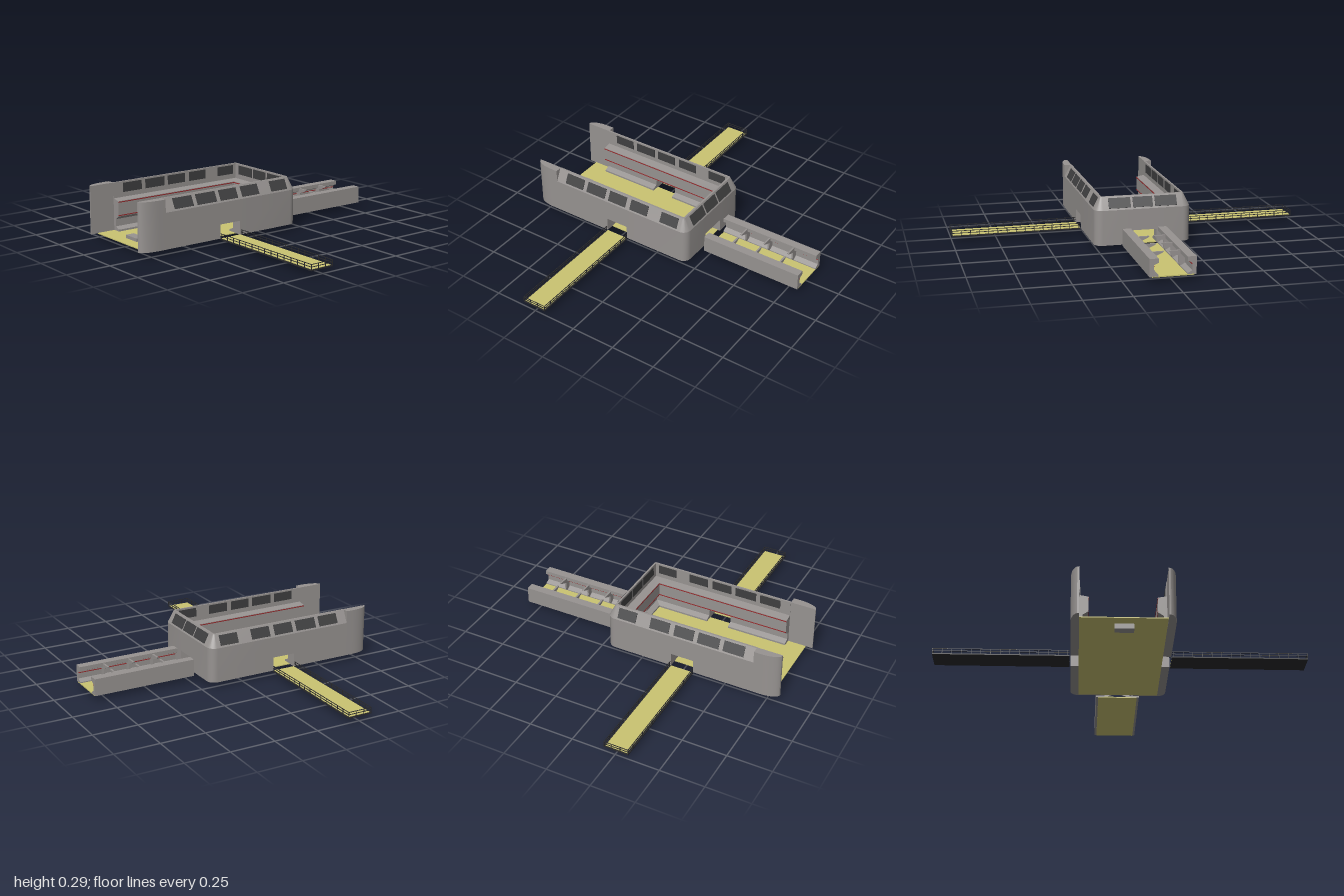
import * as THREE from 'three';
import { toCreasedNormals } from 'three/addons/utils/BufferGeometryUtils.js';

const mat = (name, color) => {
  const m = new THREE.MeshStandardMaterial({ color });
  m.name = name;
  return m;
};

export function createModel() {
  const root = new THREE.Group();
  root.name = 'hangarBay';
  const hull = mat('hullGrey', 0x979391);
  const yellow = mat('deckYellow', 0xcac472);
  const glass = mat('windowDark', 0x3f3f40);
  const dark = mat('railingBlack', 0x2a2a2c);
  const red = mat('stripeRed', 0x962a2c);

  const add = (parent, name, geo, m, x = 0, y = 0, z = 0) => {
    const mesh = new THREE.Mesh(geo, m);
    mesh.name = name;
    mesh.position.set(x, y, z);
    parent.add(mesh);
    return mesh;
  };
  const box = (parent, name, m, x0, x1, y0, y1, z0, z1) =>
    add(parent, name, new THREE.BoxGeometry(x1 - x0, y1 - y0, z1 - z0), m, (x0 + x1) / 2, (y0 + y1) / 2, (z0 + z1) / 2);
  const shape = pts => new THREE.Shape(pts.map(p => new THREE.Vector2(...p)));
  const extrude = (pts, depth) => new THREE.ExtrudeGeometry(shape(pts), { depth, bevelEnabled: false });

  // Hall walls: a cross-section of (inset, height) swept round a U-shaped plan
  const W = 0.268, B = 0.205, R = 0.045;
  const upper = [[0, 0.225], [0.035, 0.295], [0.045, 0.295], [0.045, 0.208], [0.09, 0.2], [0.09, 0.115]];
  const fullProfile = [[0, 0.03], ...upper, [0.06, 0.095], [0.06, 0.055], [0.09, 0.042], [0.09, 0.03]];
  const doorProfile = [[0, 0.107], ...upper, [0.08, 0.107]];
  const side = (s, z) => d => [s * (W - d), z];
  const back = x => d => [x, d - B];
  const corner = s => Array.from({ length: 7 }, (_, i) => {
    const a = (s > 0 ? i : 6 - i) * Math.PI / 12;
    return d => {
      const r = Math.max(R - d, 0), c = Math.max(R, d);
      return [s * (W - c + r * Math.cos(a)), c - B - r * Math.sin(a)];
    };
  });
  const sweep = (profile, stations) => {
    const rings = stations.map(f => profile.map(([d, y]) => { const [x, z] = f(d); return [x, y, z]; }));
    const pos = [], n = profile.length;
    const tri = (...ps) => ps.forEach(p => pos.push(...p));
    for (let i = 0; i < rings.length - 1; i++) {
      for (let j = 0; j < n; j++) {
        const k = (j + 1) % n, p = rings[i], q = rings[i + 1];
        tri(p[j], q[j], q[k]);
        tri(p[j], q[k], p[k]);
      }
    }
    const first = rings[0], last = rings[rings.length - 1];
    for (const [a, b, c] of THREE.ShapeUtils.triangulateShape(profile.map(([d, y]) => new THREE.Vector2(-d, y)), [])) {
      tri(first[a], first[b], first[c]);
      tri(last[c], last[b], last[a]);
    }
    const g = new THREE.BufferGeometry();
    g.setAttribute('position', new THREE.Float32BufferAttribute(pos, 3));
    return toCreasedNormals(g, 0.4);
  };
  const D0 = 0.19, D1 = 0.322, F = 0.67, DX = 0.075;
  [
    ['leftFrontWall', fullProfile, [side(1, F), side(1, D1)]],
    ['leftDoorLintel', doorProfile, [side(1, D1), side(1, D0)]],
    ['leftRearWall', fullProfile, [side(1, D0), ...corner(1), back(DX)]],
    ['rearDoorLintel', doorProfile, [back(DX), back(-DX)]],
    ['rightRearWall', fullProfile, [back(-DX), ...corner(-1), side(-1, D0)]],
    ['rightDoorLintel', doorProfile, [side(-1, D0), side(-1, D1)]],
    ['rightFrontWall', fullProfile, [side(-1, D1), side(-1, F)]],
  ].forEach(([name, profile, st]) => add(root, name, sweep(profile, st), hull));

  // Floor and front step
  box(root, 'hallFloor', yellow, -0.224, 0.224, 0.027, 0.032, -0.19, 0.775);
  box(root, 'frontStep', hull, -0.045, 0.055, 0, 0.05, 0.662, 0.712);

  // Curved front fins, full height
  for (const s of [1, -1]) {
    const pts = [[0.225, -F], [W, -F]];
    for (let i = 0; i <= 8; i++) {
      const a = i / 8 * Math.PI / 2;
      pts.push([0.228 + 0.04 * Math.cos(a), -0.71 - 0.105 * Math.sin(a)]);
    }
    pts.push([0.225, -0.815]);
    const g = extrude(pts.map(([x, y]) => [x * s, y]), 0.265).rotateX(-Math.PI / 2);
    add(root, 'frontFin', toCreasedNormals(g, 0.4), hull, 0, 0.03, 0);
  }

  // Windows on the sloped rim, with matching panes inside
  const windows = (name, turn, dist, spans) => {
    const g = new THREE.Group();
    g.name = name;
    g.rotation.y = turn;
    for (const [a, b] of spans) {
      const pane = add(g, 'outerPane', new THREE.BoxGeometry(0.006, 0.058, b - a), glass, dist - 0.0175, 0.26, (a + b) / 2);
      pane.rotation.z = Math.atan(0.5);
      box(g, 'innerPane', glass, dist - 0.048, dist - 0.043, 0.235, 0.286, a, b);
    }
    root.add(g);
  };
  const spans = [[0.49, 0.61], [0.34, 0.465], [0.2, 0.315], [0.055, 0.17], [-0.14, -0.03]];
  windows('leftWindows', 0, W, spans);
  windows('rightWindows', Math.PI, W, spans.map(([a, b]) => [-b, -a]));
  windows('rearWindows', Math.PI / 2, B, [[-0.19, -0.068], [-0.055, 0.055], [0.068, 0.19]]);

  // Red stripes along the inner walls
  for (const y of [0.192, 0.118]) {
    for (const s of [1, -1]) box(root, 'sideStripe', red, s * 0.178 - 0.002, s * 0.178 + 0.002, y, y + 0.005, -0.113, F);
    box(root, 'rearStripe', red, -0.178, 0.178, y, y + 0.005, -0.117, -0.113);
  }

  // Rear corridor: channel-shaped walls with arched ribs
  const channel = [[0.122, 0.03], [0.122, 0.125], [0.075, 0.125], [0.075, 0.103], [0.1, 0.092],
    [0.1, 0.052], [0.075, 0.038], [0.075, 0.03]];
  const rib = [[0.105, 0.035], [0.105, 0.12], [0.012, 0.12], [0.018, 0.113], [0.066, 0.092], [0.066, 0.052], [0.075, 0.035]];
  for (const s of [1, -1]) {
    const flip = pts => pts.map(([x, y]) => [x * s, y]);
    add(root, 'corridorWall', extrude(flip(channel), 0.587), hull, 0, 0, -0.815);
    for (const z of [-0.68, -0.53, -0.385]) add(root, 'corridorRib', extrude(flip(rib), 0.01), hull, 0, 0, z);
    box(root, 'corridorStripe', red, s * 0.099 - 0.002, s * 0.099 + 0.002, 0.083, 0.087, -0.815, -0.23);
  }
  box(root, 'corridorFloor', yellow, -0.11, 0.11, 0.027, 0.033, -0.815, -0.23);

  // Side gangways with railings
  for (const s of [1, -1]) {
    const g = new THREE.Group();
    g.name = s > 0 ? 'leftGangway' : 'rightGangway';
    if (s < 0) {
      g.rotation.y = Math.PI;
      g.position.z = 0.51;
    }
    const z0 = 0.185, z1 = 0.325, t = 0.003;
    box(g, 'gangwayBase', dark, 0.272, 1, 0.025, 0.031, z0, z1);
    box(g, 'gangwayDeck', yellow, 0.272, 0.994, 0.029, 0.033, z0 + 0.007, z1 - 0.007);
    for (const z of [z0, z1 - t]) {
      for (const y of [0.044, 0.057]) box(g, 'sideRail', dark, 0.272, 1, y, y + t, z, z + t);
      for (let i = 0; i <= 14; i++) {
        const x = 0.28 + i * 0.717 / 14;
        box(g, 'railPost', dark, x, x + t, 0.03, 0.06, z, z + t);
      }
    }
    for (const y of [0.044, 0.057]) box(g, 'endRail', dark, 1 - t, 1, y, y + t, z0, z1);
    for (const z of [0.23, 0.277]) box(g, 'endPost', dark, 1 - t, 1, 0.03, 0.06, z, z + t);
    root.add(g);
  }
  return root;
}
